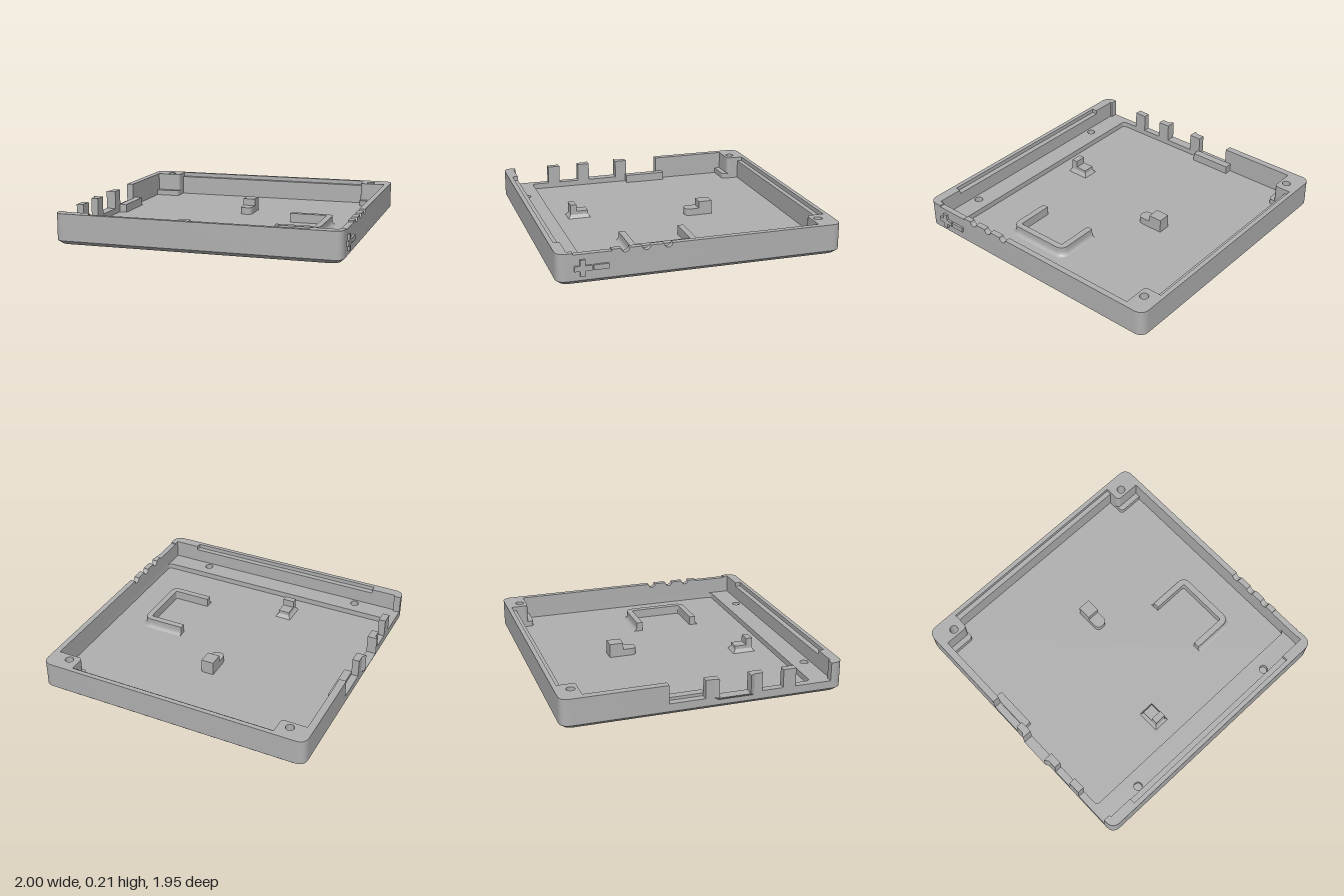
import * as THREE from 'three';
import { toCreasedNormals } from 'three/addons/utils/BufferGeometryUtils.js';

const FLOOR = 0.04, LEDGE = 0.08, LIP = 0.18, RIM = 0.21;

// Closed outline from [x, z, cornerRadius] points
function outline(points, Type = THREE.Shape) {
  const s = new Type();
  const n = points.length;
  points.forEach(([x, z, r = 0], i) => {
    const toward = ([px, pz]) => {
      const l = Math.hypot(px - x, pz - z);
      return [x + (px - x) / l * r, z + (pz - z) / l * r];
    };
    const a = toward(points[(i + n - 1) % n]);
    const b = toward(points[(i + 1) % n]);
    if (i === 0) s.moveTo(...a); else s.lineTo(...a);
    if (r) s.quadraticCurveTo(x, z, ...b);
  });
  s.closePath();
  return s;
}

function hole(x, z, r, sides) {
  const pts = [];
  for (let i = 0; i < sides; i++) {
    const a = i / sides * Math.PI * 2;
    pts.push([x + r * Math.cos(a), z + r * Math.sin(a)]);
  }
  return outline(pts, THREE.Path);
}

// Plan outline (x, z) raised from y0 to y1
function slab(shape, y0, y1) {
  const g = new THREE.ExtrudeGeometry(shape, { depth: y1 - y0, bevelEnabled: false, curveSegments: 8 });
  return g.rotateX(Math.PI / 2).translate(0, y1, 0);
}

function block(x0, x1, y0, y1, z0, z1) {
  return new THREE.BoxGeometry(x1 - x0, y1 - y0, z1 - z0)
    .translate((x0 + x1) / 2, (y0 + y1) / 2, (z0 + z1) / 2);
}

function moveVertices(g, rule) {
  const p = g.attributes.position;
  const v = new THREE.Vector3();
  for (let i = 0; i < p.count; i++) {
    rule(v.fromBufferAttribute(p, i));
    p.setXYZ(i, v.x, v.y, v.z);
  }
  return g;
}

// Sweep an [outward, y] section (counter-clockwise) along a plan path
function sweep(path, section) {
  const rings = path.map((p, i) => {
    const t = path[Math.min(i + 1, path.length - 1)].clone().sub(path[Math.max(i - 1, 0)]).normalize();
    return section.map(([o, y]) => [p.x + t.y * o, y, p.y - t.x * o]);
  });
  const out = [];
  const tri = (...c) => c.forEach(v => out.push(...v));
  const m = section.length;
  for (let i = 0; i < rings.length - 1; i++) {
    const A = rings[i], B = rings[i + 1];
    for (let j = 0; j < m; j++) {
      const k = (j + 1) % m;
      tri(A[j], A[k], B[k]);
      tri(A[j], B[k], B[j]);
    }
  }
  const first = rings[0], last = rings[rings.length - 1];
  for (let j = 1; j < m - 1; j++) {
    tri(first[0], first[j + 1], first[j]);
    tri(last[0], last[j], last[j + 1]);
  }
  const g = new THREE.BufferGeometry();
  g.setAttribute('position', new THREE.Float32BufferAttribute(out, 3));
  g.computeVertexNormals();
  return g;
}

export function createModel() {
  const model = new THREE.Group();
  model.name = 'enclosureTray';
  const grey = new THREE.MeshStandardMaterial({ color: 0xb0b0b0 });
  grey.name = 'grey plastic';
  const add = (name, g) => {
    const mesh = new THREE.Mesh(toCreasedNormals(g, 0.6), grey);
    mesh.name = name;
    model.add(mesh);
  };

  const backScrews = [[-0.83, -0.87], [0.835, -0.87]];
  const screws = [...backScrews, [-0.63, 0.86], [0.63, 0.86]];
  const outer = () => outline([[-0.98, -0.977, 0.07], [0.985, -0.977, 0.07], [0.985, 0.977, 0.07], [-0.98, 0.977, 0.07]]);

  // Chamfered underside with hexagonal nut pockets, then the floor
  const base = outer();
  screws.forEach(([x, z]) => base.holes.push(hole(x, z, 0.045, 6)));
  const chamfered = moveVertices(slab(base, 0, 0.025), v => {
    if (v.y < 0.01 && Math.max(Math.abs(v.x), Math.abs(v.z)) > 0.925) { v.x *= 0.974; v.z *= 0.974; }
  });
  chamfered.computeVertexNormals();
  add('chamferedBase', chamfered);
  add('floor', slab(outer(), 0.025, FLOOR));

  // Lower wall with front ledge and rear corner steps
  const lower = outer();
  lower.holes.push(outline([
    [-0.93, -0.78], [-0.75, -0.78, 0.03], [-0.75, -0.91], [0.76, -0.91], [0.76, -0.78, 0.03],
    [0.945, -0.78], [0.945, 0.76, 0.03], [-0.93, 0.76, 0.03]], THREE.Path));
  screws.forEach(([x, z]) => lower.holes.push(hole(x, z, 0.03, 20)));
  add('lowerWallAndLedges', slab(lower, FLOOR, LEDGE));

  // Upper wall, open along the -x side
  const upper = outline([
    [-0.98, -0.26], [-0.98, -0.977, 0.07], [0.985, -0.977, 0.07], [0.985, 0.977, 0.07], [-0.98, 0.977, 0.07],
    [-0.98, 0.89], [-0.93, 0.89], [-0.93, 0.905], [0.945, 0.905], [0.945, -0.82], [0.76, -0.82, 0.03],
    [0.76, -0.91], [-0.75, -0.91], [-0.75, -0.82, 0.03], [-0.93, -0.82], [-0.93, -0.26]]);
  // Rim pieces, set back to leave a seating lip at front and rear
  const rearRim = outline([
    [-0.98, -0.26], [-0.98, -0.977, 0.07], [0.985, -0.977, 0.07], [0.985, 0.2], [0.945, 0.2],
    [0.945, -0.82], [0.76, -0.82, 0.03], [0.76, -0.945], [-0.75, -0.945], [-0.75, -0.82, 0.03],
    [-0.93, -0.82], [-0.93, -0.26]]);
  const frontRim = outline([
    [0.985, 0.88], [0.985, 0.977, 0.07], [-0.98, 0.977, 0.07], [-0.98, 0.89], [-0.93, 0.89], [-0.93, 0.905],
    [-0.75, 0.905], [-0.75, 0.945], [0.76, 0.945], [0.76, 0.905], [0.945, 0.905], [0.945, 0.88]]);
  for (const s of [upper, rearRim]) backScrews.forEach(([x, z]) => s.holes.push(hole(x, z, 0.03, 20)));
  add('upperWall', slab(upper, LEDGE, LIP));
  add('rearRim', slab(rearRim, LIP, RIM));
  add('frontRim', slab(frontRim, LIP, RIM));

  // Notched cable rim on the +x side (profile runs along -z)
  const notched = new THREE.Shape();
  notched.moveTo(-0.88, LIP);
  notched.lineTo(-0.2, LIP);
  notched.lineTo(-0.2, RIM);
  for (const z of [0.245, 0.39, 0.53]) {
    notched.lineTo(-z + 0.028, RIM);
    notched.absarc(-z, RIM, 0.028, 0, Math.PI, true);
  }
  [[-0.62, RIM], [-0.62, 0.2], [-0.87, 0.2], [-0.87, RIM], [-0.88, RIM]].forEach(p => notched.lineTo(...p));
  notched.closePath();
  add('notchedRim', new THREE.ExtrudeGeometry(notched, { depth: 0.04, bevelEnabled: false, curveSegments: 12 })
    .rotateY(Math.PI / 2).translate(0.945, 0, 0));

  // Posts between the port openings on the -x side
  for (const [z0, z1] of [[-0.01, 0.08], [0.3, 0.39], [0.54, 0.63]]) {
    add('portPost', block(-0.98, -0.93, LEDGE, RIM, z0, z1));
  }
  // Outer port surround: sloped sill and two cheeks
  const sill = outline([[-0.98, 0.05], [-1, 0.08], [-1, 0.3], [-0.98, 0.33]]);
  const sillGeo = moveVertices(slab(sill, 0.06, LEDGE), v => { if (v.y < 0.07) v.x = -0.98; });
  sillGeo.computeVertexNormals();
  add('portSill', sillGeo);
  add('portCheek', slab(outline([[-0.98, 0.05], [-1, 0.08], [-0.98, 0.08]]), LEDGE, RIM));
  add('portCheek', slab(outline([[-0.98, 0.33], [-1, 0.3], [-0.98, 0.3]]), LEDGE, RIM));
  add('sideShelf', block(-0.93, -0.875, FLOOR, 0.1, -0.31, 0));

  // Raised plus and minus marks on the +x side
  add('plusBar', block(0.98, 1, 0.09, 0.125, 0.75, 0.865));
  add('plusUpright', block(0.98, 1, 0.055, 0.165, 0.793, 0.828));
  add('minusBar', block(0.98, 1, 0.09, 0.125, 0.64, 0.74));

  // U-shaped holder with a flared foot on its outside
  const path = new THREE.Path();
  path.moveTo(0.4, -0.03);
  path.lineTo(0.655, -0.03);
  path.quadraticCurveTo(0.692, -0.03, 0.692, 0.007);
  path.lineTo(0.692, 0.36);
  path.quadraticCurveTo(0.692, 0.397, 0.655, 0.397);
  path.lineTo(0.4, 0.397);
  add('batteryHolder', sweep(path.getPoints(8), [
    [-0.022, FLOOR], [0.045, FLOOR], [0.032, 0.047], [0.024, 0.06], [0.022, 0.075], [0.022, 0.105], [-0.022, 0.105]]));

  // Stepped centre support with a rounded front end
  add('centreSupportTall', block(-0.037, 0.053, FLOOR, 0.14, -0.39, -0.29));
  add('centreSupportLow', slab(outline([
    [-0.037, -0.29], [0.053, -0.29], [0.053, -0.19, 0.04], [-0.037, -0.19, 0.04]]), FLOOR, 0.09));

  // Stepped front support on a flared foot
  add('frontSupportLow', block(-0.233, -0.15, FLOOR, 0.09, 0.5, 0.585));
  add('frontSupportTall', block(-0.233, -0.15, FLOOR, 0.14, 0.585, 0.63));
  const foot = moveVertices(block(-0.25, -0.133, FLOOR, 0.065, 0.483, 0.647), v => {
    if (v.y > 0.05) { v.x += v.x < -0.19 ? 0.017 : -0.017; v.z += v.z < 0.56 ? 0.017 : -0.017; }
  });
  foot.computeVertexNormals();
  add('frontSupportFoot', foot);

  return model;
}
